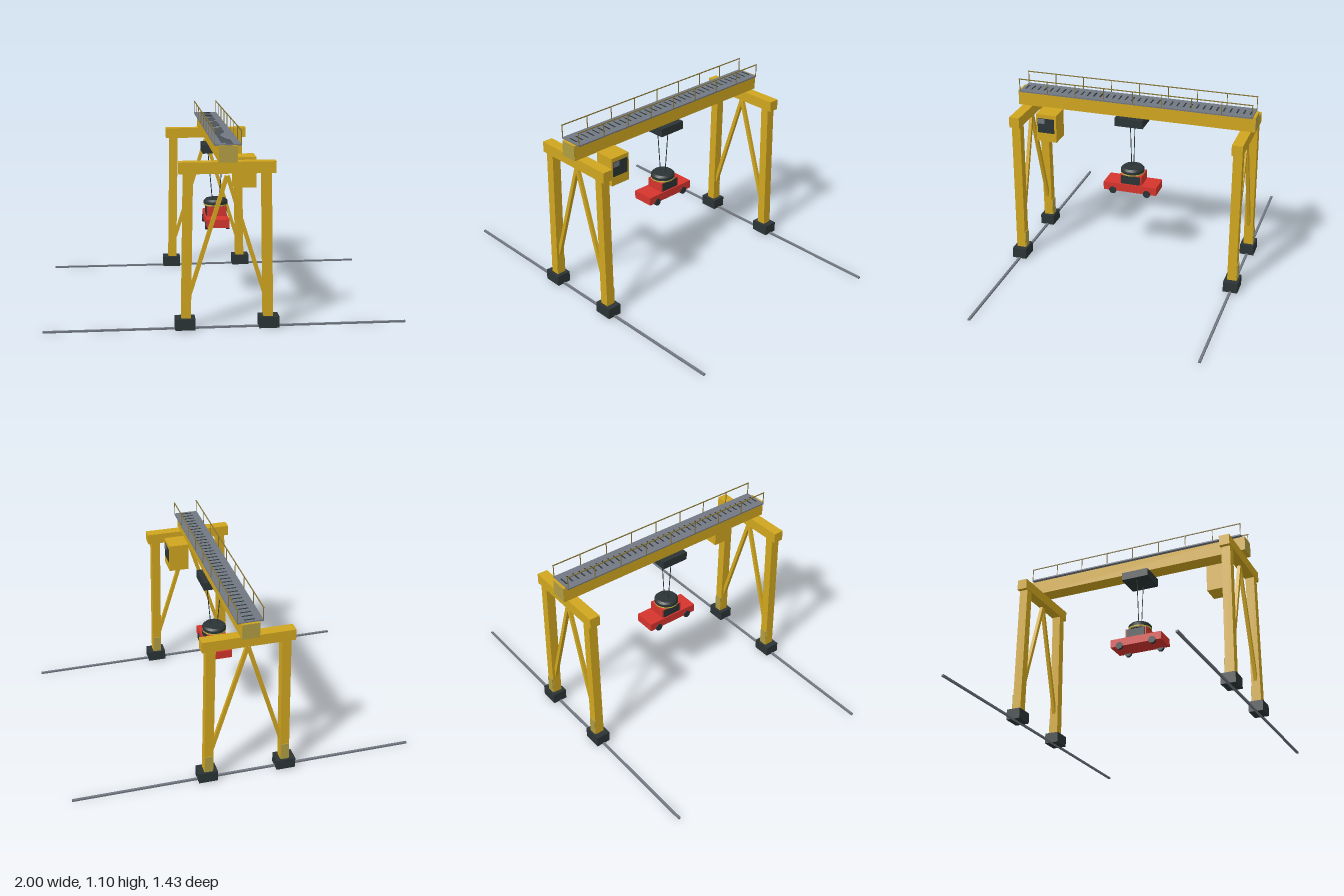
import * as THREE from 'three';

const mat = (name, color, extra = {}) => Object.assign(new THREE.MeshStandardMaterial({ color, ...extra }), { name });

export function createModel() {
  const yellow = mat('craneYellow', 0xd0a61f);
  const olive = mat('warningPlate', 0xb09d42);
  const dark = mat('darkSteel', 0x2b3435);
  const grey = mat('walkwayGrey', 0x727882);
  const red = mat('carRed', 0xd5342d);
  const brass = mat('ringYellow', 0xc9b040);
  const railing = mat('railingOlive', 0x857435);

  const root = new THREE.Group();
  root.name = 'gantryCrane';

  const add = (name, geo, material, x = 0, y = 0, z = 0, parent = root) => {
    const m = new THREE.Mesh(geo, material);
    m.name = name;
    m.position.set(x, y, z);
    parent.add(m);
    return m;
  };
  // Box given by its min/max on each axis
  const box = (name, material, x0, x1, y0, y1, z0, z1, parent = root) =>
    add(name, new THREE.BoxGeometry(x1 - x0, y1 - y0, z1 - z0), material,
      (x0 + x1) / 2, (y0 + y1) / 2, (z0 + z1) / 2, parent);
  // Straight bar between two points
  const bar = (name, material, a, b, geoFor, parent = root) => {
    const d = b.clone().sub(a);
    const m = add(name, geoFor(d.length()), material, 0, 0, 0, parent);
    m.position.copy(a).add(b).multiplyScalar(0.5);
    m.quaternion.setFromUnitVectors(new THREE.Vector3(0, 1, 0), d.normalize());
    return m;
  };
  const V = (x, y, z) => new THREE.Vector3(x, y, z);

  // Two end frames, each on its own ground rail
  for (const sz of [1, -1]) {
    const frame = new THREE.Group();
    frame.name = sz > 0 ? 'frontFrame' : 'backFrame';
    const z = sz * 0.661;
    root.add(frame);
    box('groundRail', grey, -1, 1, 0, 0.01, z - 0.007, z + 0.007, frame);
    box('crossBeam', yellow, -0.26, 0.26, 0.862, 0.925, z - 0.031, z + 0.031, frame);
    for (const sx of [1, -1]) {
      box('wheelHousing', dark, sx * 0.23 - 0.055, sx * 0.23 + 0.055, 0.004, 0.067, z - 0.043, z + 0.043, frame);
      // Leg leaning slightly inward
      const geo = new THREE.BoxGeometry(0.052, 0.8, 0.053);
      const p = geo.attributes.position;
      for (let i = 0; i < p.count; i++) p.setX(i, p.getX(i) - sx * 0.0075 * Math.sign(p.getY(i)));
      geo.computeVertexNormals();
      add('leg', geo, yellow, sx * 0.2175, 0.465, z, frame);
      box('legPlate', olive, sx * 0.224 - 0.023, sx * 0.224 + 0.023, 0.067, 0.17, z - 0.032, z - 0.026, frame);
      // Diagonal brace
      bar('brace', yellow, V(sx * 0.203, 0.2, z), V(sx * 0.002, 0.845, z),
        (l) => new THREE.BoxGeometry(0.022, l, 0.02), frame);
    }
  }

  // Main girder with end plates and walkway
  box('girder', yellow, -0.05, 0.05, 0.925, 1.015, -0.714, 0.714);
  for (const s of [1, -1]) add('girderEndPlate', new THREE.BoxGeometry(0.098, 0.088, 0.004), olive, 0, 0.97, s * 0.715);
  box('walkway', grey, -0.072, 0.072, 1.013, 1.021, -0.7, 0.7);
  for (let i = 0; i < 36; i++) {
    add('walkwaySlat', new THREE.BoxGeometry(0.06, 0.002, 0.008), dark, 0, 1.0211, -0.68 + i * 0.0388);
  }

  // Handrails on both sides
  for (const s of [1, -1]) {
    const x = s * 0.07;
    box('handrail', railing, x - 0.0025, x + 0.0025, 1.091, 1.096, -0.702, 0.702);
    for (let i = 0; i < 9; i++) {
      add('handrailPost', new THREE.BoxGeometry(0.004, 0.075, 0.004), railing, x, 1.056, -0.698 + i * 0.1745);
    }
  }

  // Operator cabin
  box('cabin', yellow, 0.05, 0.17, 0.76, 0.928, 0.435, 0.56);
  box('cabinWindow', dark, 0.169, 0.173, 0.815, 0.904, 0.448, 0.55);
  box('windowGlint', grey, 0.172, 0.1745, 0.872, 0.902, 0.505, 0.548);

  // Trolley, cables and lifting magnet
  const zc = 0.02;
  box('trolley', dark, -0.083, 0.083, 0.875, 0.924, -0.065, 0.105);
  for (const s of [1, -1]) {
    bar('cable', dark, V(s * 0.046, 0.88, zc), V(s * 0.02, 0.588, zc),
      (l) => new THREE.CylinderGeometry(0.0025, 0.0025, l, 8));
  }
  add('magnetTop', new THREE.CylinderGeometry(0.06, 0.071, 0.012, 24), dark, 0, 0.586, zc);
  add('magnetBody', new THREE.CylinderGeometry(0.071, 0.071, 0.018, 24), dark, 0, 0.571, zc);
  add('magnetRing', new THREE.CylinderGeometry(0.072, 0.072, 0.008, 24), brass, 0, 0.559, zc);
  add('magnetBase', new THREE.CylinderGeometry(0.066, 0.066, 0.006, 24), dark, 0, 0.553, zc);

  // Lifted car
  const car = new THREE.Group();
  car.name = 'car';
  root.add(car);
  box('carBody', red, -0.066, 0.066, 0.447, 0.496, -0.145, 0.183, car);
  box('carCabin', red, -0.056, 0.056, 0.495, 0.552, -0.052, 0.084, car);
  for (const s of [1, -1]) {
    add('carWindow', new THREE.BoxGeometry(0.004, 0.052, 0.118), dark, s * 0.057, 0.523, 0.016, car);
    for (const z of [0.125, -0.086]) {
      const w = add('carWheel', new THREE.CylinderGeometry(0.022, 0.022, 0.018, 20), dark, s * 0.062, 0.45, z, car);
      w.rotation.z = Math.PI / 2;
    }
  }
  return root;
}
